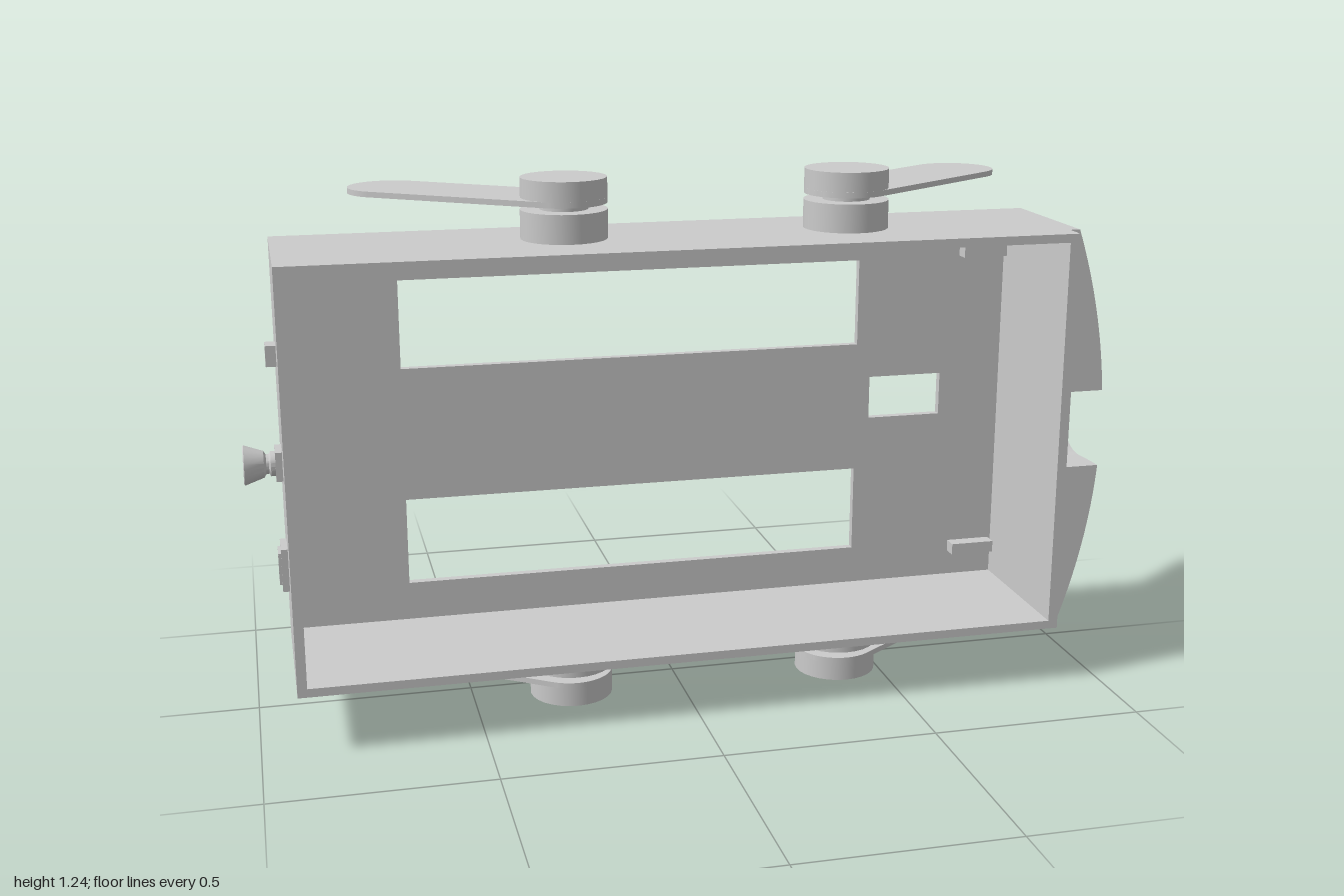
import * as THREE from 'three';
import { toCreasedNormals } from 'three/addons/utils/BufferGeometryUtils.js';

const MID = 0.619, BOTTOM = 0.138, TOP = 1.1, BACK = -0.105, FRONT = 0.285;
const NOSE_FRONT = 0.23, NOSE_BASE = 0.902;

export function createModel() {
  const model = new THREE.Group();
  const grey = new THREE.MeshStandardMaterial({ color: 0xcccccc });

  const add = (parent, name, geo, x = 0, y = 0, z = 0) => {
    const mesh = new THREE.Mesh(geo, grey);
    mesh.name = name;
    mesh.position.set(x, y, z);
    parent.add(mesh);
    return mesh;
  };
  const box = (parent, name, x0, x1, y0, y1, z0, z1) =>
    add(parent, name, new THREE.BoxGeometry(x1 - x0, y1 - y0, z1 - z0),
      (x0 + x1) / 2, (y0 + y1) / 2, (z0 + z1) / 2);
  const rect = (Type, x0, x1, y0, y1) => new Type([
    new THREE.Vector2(x0, y0), new THREE.Vector2(x1, y0),
    new THREE.Vector2(x1, y1), new THREE.Vector2(x0, y1)]);
  const plate = (outer, holes, depth) => {
    const shape = rect(THREE.Shape, ...outer);
    shape.holes = holes.map(h => rect(THREE.Path, ...h));
    return new THREE.ExtrudeGeometry(shape, { depth, bevelEnabled: false });
  };

  // Open-fronted case: four walls and a back panel with windows
  const outer = [-0.915, 0.89, BOTTOM, TOP], inner = [-0.893, 0.867, 0.158, 1.08];
  add(model, 'caseWalls', plate(outer, [inner], FRONT - BACK), 0, 0, BACK);
  add(model, 'backPanel', plate(outer, [
    [-0.63, 0.49, 0.78, 0.99],
    [-0.63, 0.49, 0.25, 0.46],
    [0.525, 0.71, 0.59, 0.695],
  ], 0.02), 0, 0, BACK);
  box(model, 'noseBacking', 0.885, NOSE_BASE, BOTTOM, TOP, BACK, NOSE_FRONT);

  // Small tabs inside the case
  for (const y of [0.235, 1.005]) box(model, 'innerTab', 0.75, 0.86, y - 0.014, y + 0.014, -0.09, -0.05);

  add(model, 'curvedNose', noseGeometry());

  // Four swivel feet with swung-out arms, mirrored above and below the case
  for (const up of [1, -1]) {
    for (const [x, dir] of [[-0.265, -1], [0.4, 1]]) {
      const foot = new THREE.Group();
      foot.name = (up > 0 ? 'upper' : 'lower') + 'SwivelArm';
      foot.position.set(x, up > 0 ? TOP : BOTTOM, 0.065);
      const disc = (name, r, y0, y1) =>
        add(foot, name, new THREE.CylinderGeometry(r, r, y1 - y0, 28), 0, up * (y0 + y1) / 2, 0);
      disc('pivotBase', 0.099, 0, 0.066);
      disc('pivotNeck', 0.055, 0.06, 0.085);
      disc('pivotCap', 0.098, 0.08, 0.138);
      const arm = add(foot, 'arm', armGeometry(Math.hypot(0.365, 0.255), 0.098),
        0, up * 0.0865, 0);
      arm.rotation.y = Math.atan2(0.255, dir * 0.365);
      model.add(foot);
    }
  }

  // Controls on the end wall
  const controls = new THREE.Group();
  controls.name = 'endControls';
  box(controls, 'button', -0.938, -0.9, 0.848, 0.895, 0.065, 0.11);
  box(controls, 'knobPlate', -0.93, -0.9, 0.588, 0.655, 0.05, 0.12);
  const knobProfile = [[0, 0], [0.028, 0], [0.028, 0.03], [0.022, 0.034], [0.022, 0.04],
    [0.03, 0.045], [0.045, 0.088], [0.042, 0.09], [0, 0.09]].map(p => new THREE.Vector2(...p));
  const knob = add(controls, 'knob',
    toCreasedNormals(new THREE.LatheGeometry(knobProfile, 20), 0.5), -0.91, 0.621, 0.085);
  knob.rotation.z = Math.PI / 2;
  const socket = add(controls, 'socketFrame',
    plate([-0.04, 0.04, -0.05, 0.05], [[-0.024, 0.024, -0.034, 0.034]], 0.02), -0.91, 0.38, 0.085);
  socket.rotation.y = -Math.PI / 2;
  const socketRim = add(controls, 'socketRim',
    plate([-0.028, 0.028, -0.037, 0.037], [[-0.018, 0.018, -0.027, 0.027]], 0.026), -0.91, 0.38, 0.085);
  socketRim.rotation.y = -Math.PI / 2;
  model.add(controls);

  return model;
}

// Flat stadium-shaped arm lying in xz, running from the pivot along +x
function armGeometry(length, r) {
  const shape = new THREE.Shape();
  shape.absarc(0, 0, r, Math.PI / 2, Math.PI * 1.5, false);
  shape.absarc(length, 0, r, -Math.PI / 2, Math.PI / 2, false);
  const geo = new THREE.ExtrudeGeometry(shape, { depth: 0.013, bevelEnabled: false, curveSegments: 16 });
  geo.translate(0, 0, -0.0065);
  geo.rotateX(-Math.PI / 2);
  return toCreasedNormals(geo, 0.5);
}

// Doubly curved nose with a rounded notch in its front edge, swept in rows along y
function noseGeometry() {
  const half = 0.093, r = 0.07, notchBottom = 0.075, n = 20;
  const notchZ = dy => {
    const d = Math.max(0, Math.abs(dy) - (half - r));
    return notchBottom + r - Math.sqrt(Math.max(0, r * r - d * d));
  };
  const bulge = (y, z) => {
    const a = (y - MID) / ((TOP - BOTTOM) / 2), b = (NOSE_FRONT - z) / (NOSE_FRONT - BACK);
    return 0.915 + 0.085 * Math.max(0, 1 - a * a) * (1 - b * b);
  };
  // Each row: height and how far forward the nose reaches there
  const rows = [];
  const lerp = THREE.MathUtils.lerp;
  for (let i = 0; i <= 16; i++) rows.push([lerp(BOTTOM, MID - half, i / 16), NOSE_FRONT]);
  for (let i = 1; i < 5; i++) rows.push([MID - half, lerp(NOSE_FRONT, notchZ(half), i / 5)]);
  for (let i = 0; i <= 24; i++) {
    const dy = -half * Math.cos(Math.PI * i / 24);
    rows.push([MID + dy, notchZ(dy)]);
  }
  for (let i = 1; i < 5; i++) rows.push([MID + half, lerp(notchZ(half), NOSE_FRONT, i / 5)]);
  for (let i = 0; i <= 16; i++) rows.push([lerp(MID + half, TOP, i / 16), NOSE_FRONT]);

  const pos = [], index = [], cols = n + 3;
  const pushRow = ([y, zMax], flat) => {
    for (let j = -1; j <= n + 1; j++) {
      const z = lerp(BACK, zMax, THREE.MathUtils.clamp(j / n, 0, 1));
      pos.push(flat || j < 0 || j > n ? NOSE_BASE : bulge(y, z), y, z);
    }
  };
  pushRow(rows[0], true);
  rows.forEach(row => pushRow(row, false));
  pushRow(rows[rows.length - 1], true);
  for (let i = 0; i < rows.length + 1; i++) {
    for (let j = 0; j < cols - 1; j++) {
      const a = i * cols + j, b = a + cols;
      index.push(a, b, a + 1, b, b + 1, a + 1);
    }
  }
  const geo = new THREE.BufferGeometry();
  geo.setAttribute('position', new THREE.Float32BufferAttribute(pos, 3));
  geo.setIndex(index);
  return toCreasedNormals(geo, 0.5);
}
